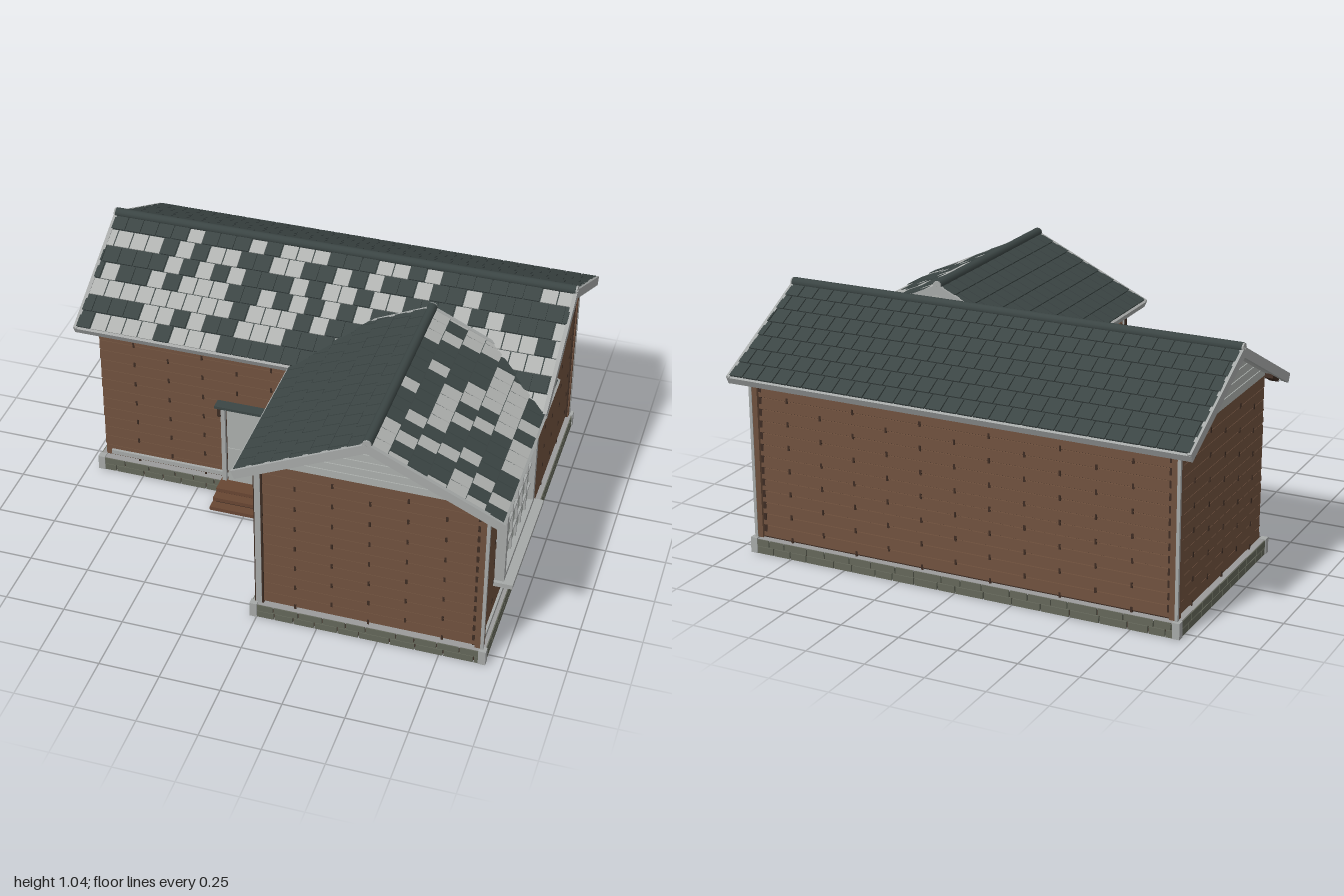
import * as THREE from 'three';
import { mergeGeometries } from 'three/addons/utils/BufferGeometryUtils.js';

const mat = (name, color) => Object.assign(new THREE.MeshStandardMaterial({ color }), { name });
const M = {
  siding: mat('brown siding', 0x6e503d),
  joint: mat('dark joint', 0x3d2c23),
  trim: mat('grey trim', 0xa6a9a8),
  gable: mat('gable grey', 0xabafac),
  tile: mat('slate tile', 0x3b4544),
  bare: mat('bare roof board', 0xb0b2b0),
  stone: mat('foundation stone', 0x64675a),
  base: mat('foundation slab', 0x9b9b9b),
  wood: mat('step wood', 0x684632),
  glass: mat('window pane', 0xaeb4af),
};

let seed = 7;
const rand = () => (seed = (seed * 16807) % 2147483647) / 2147483647;

// Box geometry centred on a point, optionally tilted about x
const bx = (w, h, d, x, y, z, rx = 0) => new THREE.BoxGeometry(w, h, d).rotateX(rx).translate(x, y, z);

function add(parent, name, material, geos) {
  const mesh = new THREE.Mesh(Array.isArray(geos) ? mergeGeometries(geos) : geos, material);
  mesh.name = name;
  parent.add(mesh);
  return mesh;
}

function group(parent, name, x = 0, y = 0, z = 0, ry = 0) {
  const g = new THREE.Group();
  g.name = name;
  g.position.set(x, y, z);
  g.rotation.y = ry;
  parent.add(g);
  return g;
}

// L-shaped plan, walked so that outside is on the right-hand side
const plan = (o) => [
  [-0.92 - o, 0.08 + o], [0.005 - o, 0.08 + o], [0.005 - o, 0.78 + o],
  [0.905 + o, 0.78 + o], [0.905 + o, -0.78 - o], [-0.92 - o, -0.78 - o],
];

function planSolid(offset, y0, y1) {
  const shape = new THREE.Shape(plan(offset).map(([x, z]) => new THREE.Vector2(x, -z)));
  return new THREE.ExtrudeGeometry(shape, { depth: y1 - y0, bevelEnabled: false }).rotateX(-Math.PI / 2).translate(0, y0, 0);
}

// Calls fn(group, length) for every side; local x runs along the wall, z points out
function eachSide(parent, name, offset, fn) {
  const p = plan(offset);
  p.forEach(([x, z], i) => {
    const [x2, z2] = p[(i + 1) % p.length];
    fn(group(parent, name, x, 0, z, Math.atan2(z - z2, x2 - x)), Math.hypot(x2 - x, z2 - z));
  });
}

function buildWalls(house) {
  add(house, 'wallCore', M.joint, planSolid(-0.004, 0.05, 0.768));
  eachSide(house, 'wall', 0, (g, len) => {
    const boards = [], marks = [], rows = 14, y0 = 0.07, p = 0.698 / rows;
    for (let i = 0; i < rows; i++) {
      const y = y0 + (i + 0.5) * p;
      boards.push(bx(len, p * 0.91, 0.008, len / 2, y, 0.001, -0.06));
      // Small dark clips where boards meet
      for (let x = 0.15 + (i % 2) * 0.15; x < len - 0.05; x += 0.3) {
        marks.push(bx(0.008, 0.022, 0.006, x, y - p * 0.42, 0.005));
      }
    }
    add(g, 'boards', M.siding, boards);
    add(g, 'boardClips', M.joint, marks);
  });
  // Outer corners: brown boards around a slim grey post
  const corners = plan(0).filter((_, i) => i > 2);
  add(house, 'cornerBoards', M.siding, corners.map(([x, z]) => bx(0.034, 0.69, 0.034, x, 0.413, z)));
  add(house, 'cornerEdges', M.joint, corners.map(([x, z]) => bx(0.042, 0.68, 0.026, x * 0.99, 0.408, z * 0.99)));
  add(house, 'cornerPosts', M.trim, corners.map(([x, z]) => bx(0.013, 0.7, 0.013, x + Math.sign(x) * 0.013, 0.413, z + Math.sign(z) * 0.013)));
  // Grey posts of the wing and where the two blocks meet
  const posts = [bx(0.024, 0.7, 0.024, 0.006, 0.412, 0.782), bx(0.02, 0.7, 0.022, 0.908, 0.413, 0.0), bx(0.024, 0.7, 0.024, 0.0, 0.412, 0.085)];
  add(house, 'greyPosts', M.trim, posts);
  add(house, 'brownPost', M.siding, bx(0.02, 0.7, 0.022, 0.91, 0.413, 0.052));
  add(house, 'postEdges', M.joint, [
    bx(0.018, 0.69, 0.034, 0.908, 0.408, 0.052), bx(0.018, 0.69, 0.032, 0.907, 0.408, 0.0), bx(0.036, 0.69, 0.02, 0.007, 0.408, 0.781),
  ]);
  // Sill rails above the foundation
  add(house, 'sillRails', M.trim, [
    bx(0.9, 0.02, 0.02, -0.445, 0.092, 0.087), bx(0.02, 0.02, 0.69, 0.91, 0.092, 0.415),
  ]);
}

function buildFoundation(house) {
  add(house, 'slab', M.base, planSolid(0.024, 0, 0.004));
  add(house, 'foundationCore', M.joint, planSolid(0.02, 0.004, 0.056));
  add(house, 'ledge', M.base, planSolid(0.026, 0.056, 0.063));
  eachSide(house, 'foundationSide', 0.022, (g, len) => {
    const stones = [];
    for (let row = 0; row < 2; row++) {
      for (let x = 0; x < len - 0.01;) {
        const w = Math.min(0.07 + rand() * 0.06, len - x);
        stones.push(bx(Math.max(w - 0.005, 0.004), 0.029, 0.012, x + w / 2, 0.0155 + row * 0.0315, 0.002));
        x += w;
      }
    }
    add(g, 'stones', M.stone, stones);
  });
  const corners = plan(0.018).filter((_, i) => i !== 1).map(([x, z]) => bx(0.03, 0.066, 0.03, x, 0.034, z));
  add(house, 'cornerBlocks', M.trim, corners);
}

// One pitched side: local x along the ridge, z down the slope, y out of the roof
function slopeSide(parent, name, len, run, pitch, patchy) {
  const turn = group(parent, name, 0, 0, 0, patchy ? 0 : Math.PI);
  const g = group(turn, 'pitch');
  g.rotation.x = Math.atan(pitch);
  const S = run / Math.cos(g.rotation.x), rows = 7, p = (S - 0.008) / rows, cols = Math.round(len / 0.068), w = len / cols;
  add(g, 'roofBoard', M.bare, bx(len, 0.016, S, 0, -0.008, S / 2));
  add(g, 'tileBed', M.tile, bx(len - 0.012, 0.004, S - 0.01, 0, 0.002, S / 2 - 0.003));
  const dark = [], light = [], edge = len / 2 - 0.005;
  for (let r = 0; r < rows; r++) {
    const shift = (r % 2) * 0.5 + (r % 3) * 0.12;
    let on = rand() < 0.5;
    for (let c = -1; c < cols; c++) {
      const a = Math.max(-edge, -len / 2 + (c + shift) * w);
      const b = Math.min(edge, -len / 2 + (c + 1 + shift) * w);
      if (b - a < 0.01) continue;
      if (rand() < 0.55) on = !on;
      const isDark = !patchy || on;
      (isDark ? dark : light).push(
        bx(b - a - 0.005, 0.007, p - 0.003, (a + b) / 2, isDark ? 0.007 : 0.004, (r + 0.5) * p, -0.03));
    }
  }
  add(g, 'tiles', M.tile, dark);
  if (patchy) add(g, 'bareTiles', M.bare, light);
  // Barge boards, fascia and rafter tails
  const trim = [-1, 1].map((s) => bx(0.016, 0.038, S, s * (len / 2 - 0.005), -0.009, S / 2));
  trim.push(bx(len, 0.03, 0.014, 0, -0.01, S - 0.005));
  add(g, 'eaveTrim', M.trim, trim);
  const tails = [];
  for (let x = -len / 2 + 0.05; x < len / 2 - 0.02; x += 0.09) tails.push(bx(0.035, 0.018, 0.075, x, -0.024, S - 0.055));
  add(g, 'rafterTails', M.joint, tails);
}

const flatSolid = (points, depth) => new THREE.ExtrudeGeometry(
  new THREE.Shape(points.map(([x, y]) => new THREE.Vector2(x, y))), { depth, bevelEnabled: false });

// Gable triangle clad with tapering boards, facing out along local x
function gableEnd(parent, x, dir, half, pitch, top) {
  const h = half * pitch, n = 6;
  const g = group(parent, 'gableEnd', x, top - h, 0, dir * Math.PI / 2);
  add(g, 'gablePanel', M.gable, flatSolid([[-half, 0], [half, 0], [0, h]], 0.02).translate(0, 0, -0.02));
  const boards = [];
  for (let i = 0; i < n; i++) {
    const a = half * (1 - i / n), b = half * (1 - (i + 0.9) / n);
    boards.push(flatSolid([[-a, i * h / n], [a, i * h / n], [b, (i + 0.9) * h / n], [-b, (i + 0.9) * h / n]], 0.008));
  }
  add(g, 'gableBoards', M.gable, boards);
}

function gableRoof(house, name, { x, y, z, ry, len, run, pitch, ends, half }) {
  const g = group(house, name, x, y, z, ry);
  slopeSide(g, 'patchySlope', len, run, pitch, true);
  slopeSide(g, 'tiledSlope', len, run, pitch, false);
  add(g, 'ridgeCap', M.tile, new THREE.CylinderGeometry(0.02, 0.02, len - 0.01, 12).rotateZ(Math.PI / 2).translate(0, 0.008, 0));
  for (const s of [-1, 1]) {
    add(g, 'ridgeEnd', M.trim, new THREE.CylinderGeometry(0.018, 0.018, 0.008, 12).rotateZ(Math.PI / 2).translate(s * (len / 2 - 0.002), 0.008, 0));
  }
  for (const [ex, dir] of ends) gableEnd(g, ex, dir, half, pitch, -0.015);
}

function buildWindow(house) {
  const g = group(house, 'sideWindow', 0.905, 0, 0.34, Math.PI / 2);
  const W = 0.5, y0 = 0.26, y1 = 0.665, H = y1 - y0, yc = (y0 + y1) / 2;
  add(g, 'panes', M.glass, bx(W, H, 0.016, 0, yc, 0.012));
  const bars = [-1, 1].map((s) => bx(0.026, H, 0.045, s * W / 2, yc, 0.022));
  bars.push(bx(W + 0.03, 0.026, 0.045, 0, y1, 0.022), bx(W + 0.01, 0.02, 0.045, 0, y0 + 0.01, 0.022));
  for (let i = 1; i < 6; i++) bars.push(bx(0.01, H, 0.014, -W / 2 + i * W / 6, yc, 0.022));
  for (let i = 1; i < 4; i++) bars.push(bx(W, 0.01, 0.014, 0, y0 + i * H / 4, 0.022));
  bars.push(bx(W + 0.05, 0.02, 0.08, 0, y0 - 0.012, 0.042));
  add(g, 'windowFrame', M.trim, bars);
  add(g, 'windowHead', M.joint, bx(W + 0.03, 0.008, 0.03, 0, y1 + 0.016, 0.012));
}

function buildDoor(house) {
  const g = group(house, 'entrance', -0.26, 0, 0.08);
  add(g, 'doorSurround', M.joint, bx(0.26, 0.385, 0.014, 0, 0.262, 0.008));
  add(g, 'doorLeaf', M.gable, [bx(0.204, 0.173, 0.014, 0, 0.155, 0.016), bx(0.204, 0.195, 0.014, 0, 0.342, 0.016)]);
  add(g, 'doorFrame', M.trim, [
    ...[-1, 1].map((s) => bx(0.018, 0.385, 0.03, s * 0.117, 0.262, 0.016)),
    bx(0.255, 0.016, 0.03, 0, 0.45, 0.016),
  ]);
  add(g, 'doorBrackets', M.joint, [-1, 1].map((s) => bx(0.014, 0.05, 0.035, s * 0.132, 0.432, 0.018)));
  add(g, 'doorHood', M.tile, bx(0.29, 0.012, 0.055, 0, 0.467, 0.026));
  add(g, 'doorHandle', M.joint, [bx(0.03, 0.008, 0.012, 0.068, 0.25, 0.03), bx(0.01, 0.028, 0.008, 0.078, 0.246, 0.025)]);
  // Three wooden treads
  const treads = [0, 1, 2].map((i) => bx(0.28 - i * 0.006, 0.017, 0.16 - i * 0.035, 0, 0.012 + i * 0.024, (0.16 - i * 0.035) / 2));
  add(g, 'stepTreads', M.wood, treads);
  add(g, 'stepRisers', M.joint, [bx(0.25, 0.03, 0.11, 0, 0.016, 0.065), bx(0.25, 0.03, 0.075, 0, 0.038, 0.045)]);
}

export function createModel() {
  seed = 7;
  const house = new THREE.Group();
  house.name = 'house';
  buildFoundation(house);
  buildWalls(house);
  gableRoof(house, 'mainRoof', {
    x: -0.0075, y: 1.012, z: -0.35, ry: 0, len: 1.985, run: 0.505, pitch: 0.51,
    ends: [[0.915, 1], [-0.915, -1]], half: 0.44,
  });
  gableRoof(house, 'wingRoof', {
    x: 0.455, y: 0.995, z: 0.38, ry: Math.PI / 2, len: 0.94, run: 0.53, pitch: 0.47,
    ends: [[0.45, 1], [-0.402, -1]], half: 0.455,
  });
  buildWindow(house);
  buildDoor(house);
  return house;
}
